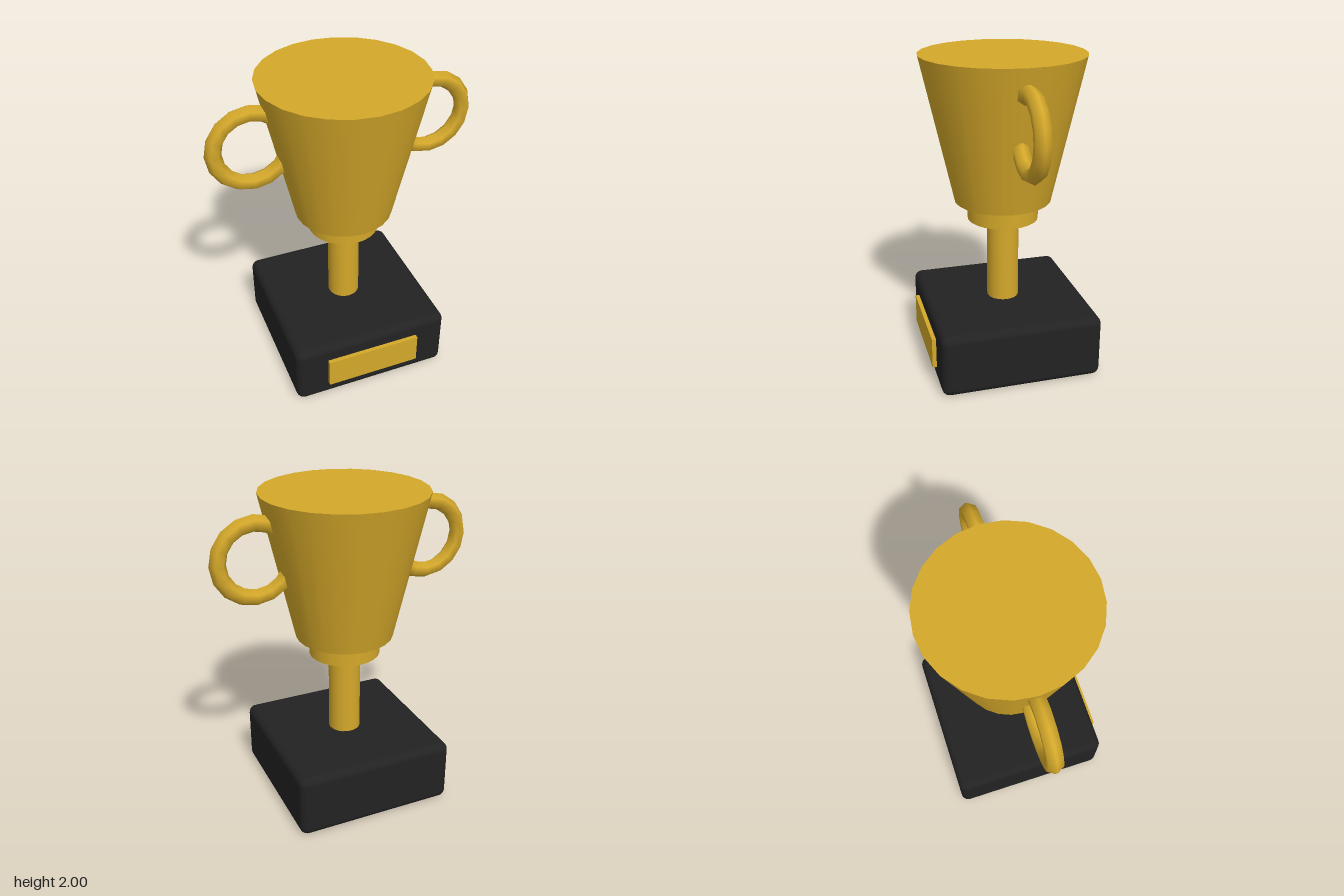
import * as THREE from 'three';
import { RoundedBoxGeometry } from 'three/addons/geometries/RoundedBoxGeometry.js';

export function createModel() {
  const model = new THREE.Group();
  model.name = 'trophy';
  const gold = new THREE.MeshStandardMaterial({ color: 0xd4a82a });
  const black = new THREE.MeshStandardMaterial({ color: 0x222222 });
  const axisZ = -0.013; // the plaque shifts the trophy axis slightly back

  function add(name, geometry, material, x, y, z = axisZ) {
    const mesh = new THREE.Mesh(geometry, material);
    mesh.name = name;
    mesh.position.set(x, y, z);
    model.add(mesh);
    return mesh;
  }

  // Upright round part spanning y0 to y1
  function round(name, bottomRadius, topRadius, y0, y1) {
    const geometry = new THREE.CylinderGeometry(topRadius, bottomRadius, y1 - y0, 24);
    add(name, geometry, gold, 0, (y0 + y1) / 2);
  }

  // Plinth with softened edges, and its name plate
  add('base', new RoundedBoxGeometry(1.024, 0.41, 1.024, 3, 0.05), black, 0, 0.205);
  add('plaque', new THREE.BoxGeometry(0.614, 0.2, 0.04), gold, 0, 0.205, 0.505);

  // Stem, collar and closed tapering cup
  round('stem', 0.102, 0.102, 0.4, 0.955);
  round('collar', 0.225, 0.225, 0.955, 1.08);
  round('cup', 0.307, 0.512, 1.08, 2);

  // Ring handles, sunk into the cup wall
  for (const side of [1, -1]) {
    const ring = new THREE.TorusGeometry(0.225, 0.051, 6, 16);
    add(side > 0 ? 'leftHandle' : 'rightHandle', ring, gold, side * 0.563, 1.645);
  }

  return model;
}
